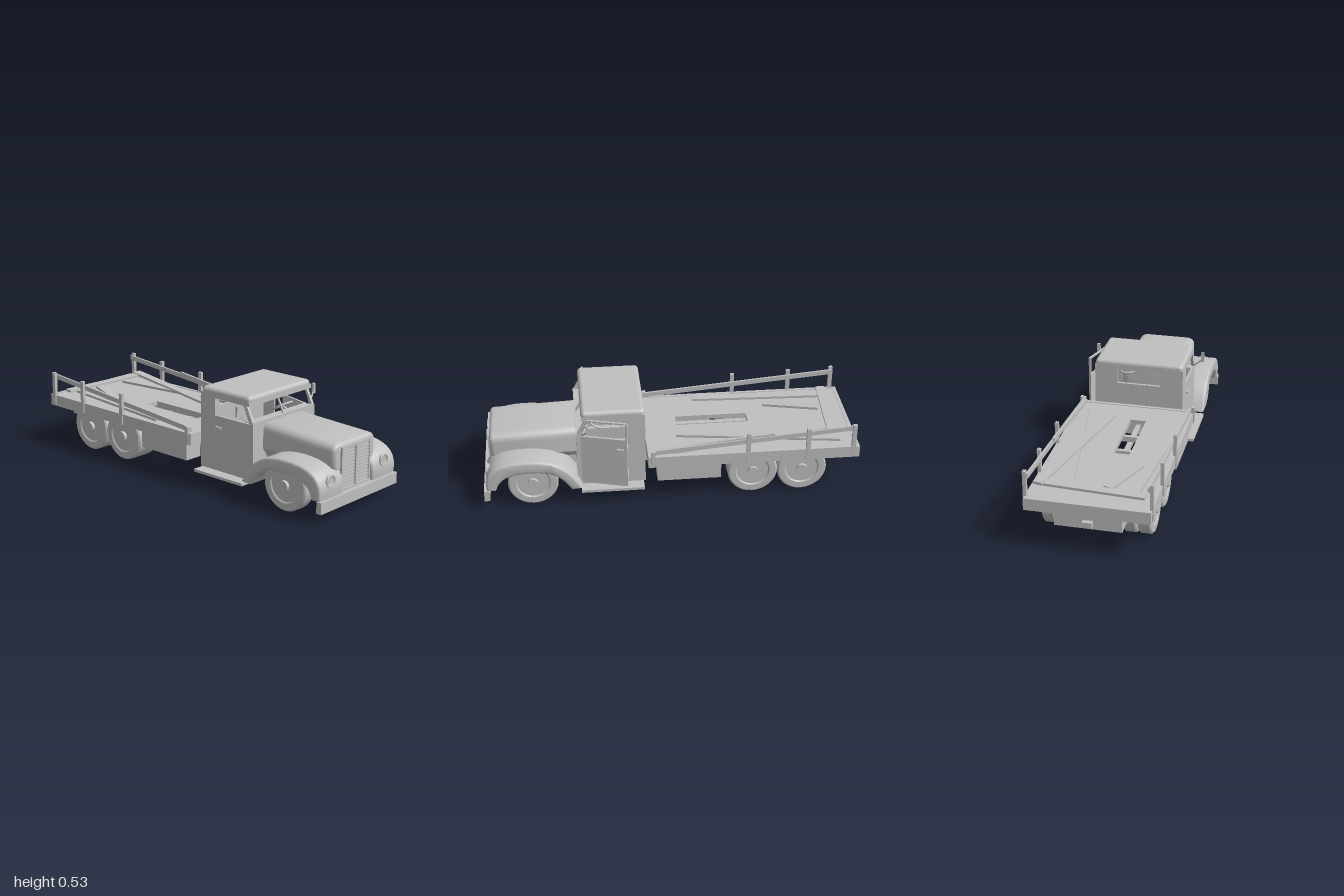
import * as THREE from 'three';
import { toCreasedNormals } from 'three/addons/utils/BufferGeometryUtils.js';
import { RoundedBoxGeometry } from 'three/addons/geometries/RoundedBoxGeometry.js';

const grey = new THREE.MeshStandardMaterial({ color: 0xc0c0c0, side: THREE.DoubleSide });
grey.name = 'primerGrey';

function add(parent, name, geometry) {
  const mesh = new THREE.Mesh(geometry, grey);
  mesh.name = name;
  parent.add(mesh);
  return mesh;
}

// Box given by its limits on each axis
function box(parent, name, x0, x1, y0, y1, z0, z1) {
  const mesh = add(parent, name, new THREE.BoxGeometry(x1 - x0, y1 - y0, z1 - z0));
  mesh.position.set((x0 + x1) / 2, (y0 + y1) / 2, (z0 + z1) / 2);
  return mesh;
}

// Bar of rectangular section laid between two points
function bar(parent, name, a, b, w, h) {
  const from = new THREE.Vector3(...a), to = new THREE.Vector3(...b);
  const mesh = add(parent, name, new THREE.BoxGeometry(w, h, from.distanceTo(to)));
  mesh.position.copy(from).lerp(to, 0.5);
  mesh.lookAt(to);
  return mesh;
}

// Cylinder along x
function axle(parent, name, r, x0, x1, y, z) {
  const mesh = add(parent, name, new THREE.CylinderGeometry(r, r, x1 - x0, 24));
  mesh.rotation.z = Math.PI / 2;
  mesh.position.set((x0 + x1) / 2, y, z);
  return mesh;
}

const outline = pts => pts.map(p => new THREE.Vector2(...p));
const extrude = (shape, depth, opts = {}) =>
  new THREE.ExtrudeGeometry(shape, { depth, bevelEnabled: false, curveSegments: 12, ...opts });

// Side profile (z, y) extruded along x from x0, with z kept pointing forward
function sideExtrude(shape, x0, width, opts) {
  const g = extrude(shape, width, opts);
  g.rotateY(-Math.PI / 2); // profile x -> +z, depth -> -x
  g.translate(x0 + width, 0, 0);
  return g;
}

function wheel(parent, x0, x1, z) {
  const w = x1 - x0, h = w / 2;
  const profile = outline([[0, -h + 0.006], [0.085, -h + 0.006], [0.092, -h], [0.125, -h], [0.134, -h + 0.008],
    [0.134, h - 0.008], [0.125, h], [0.092, h], [0.085, h - 0.006], [0, h - 0.006]]);
  const mesh = add(parent, 'wheel', toCreasedNormals(new THREE.LatheGeometry(profile, 32), 0.6));
  mesh.rotation.z = Math.PI / 2;
  mesh.position.set((x0 + x1) / 2, 0.134, z);
}

function buildRunningGear(root) {
  const g = new THREE.Group();
  g.name = 'runningGear';
  root.add(g);
  for (const s of [-1, 1]) {
    const span = (a, b) => (s > 0 ? [a, b] : [-b, -a]);
    wheel(g, ...span(0.205, 0.28), 0.74);
    axle(g, 'hub', 0.028, ...span(0.26, 0.292), 0.134, 0.74);
    for (const z of [-0.433, -0.70]) {
      wheel(g, ...span(0.135, 0.204), z);
      wheel(g, ...span(0.211, 0.28), z);
      axle(g, 'hub', 0.028, ...span(0.26, 0.292), 0.134, z);
    }
    box(g, 'chassisRail', ...span(0.1, 0.13), 0.14, 0.214, -0.96, 0.9);
    box(g, 'sideTank', ...span(0.19, 0.295), 0.115, 0.205, -0.26, 0.08);
  }
  for (const z of [0.74, -0.433, -0.70]) axle(g, 'axle', 0.018, -0.22, 0.22, 0.134, z);
  for (const z of [-0.433, -0.70]) {
    add(g, 'differential', new THREE.SphereGeometry(0.045, 20, 14)).position.set(0, 0.134, z);
  }
  bar(g, 'driveShaft', [0, 0.14, 0.2], [0, 0.134, -0.70], 0.025, 0.025);
  for (const z of [-0.1, -0.265, -0.43, -0.57]) box(g, 'crossMember', -0.11, 0.11, 0.17, 0.2, z - 0.012, z + 0.012);
  box(g, 'rearCrossBox', -0.17, 0.17, 0.135, 0.214, -0.975, -0.83);
  box(g, 'hitch', -0.025, 0.025, 0.152, 0.182, -1, -0.97);
}

function buildNose(root) {
  const g = new THREE.Group();
  g.name = 'nose';
  root.add(g);
  box(g, 'bumper', -0.313, 0.313, 0.057, 0.117, 0.97, 1);
  box(g, 'bumperApron', -0.135, 0.135, 0.115, 0.13, 0.9, 0.972);

  // Hood: front outline with a rounded leading edge, falling towards the front
  const b = 0.022, hood = new THREE.Shape();
  hood.moveTo(-0.118, 0.14);
  hood.lineTo(-0.118, 0.215);
  hood.lineTo(-0.146, 0.255);
  hood.lineTo(-0.146, 0.335);
  hood.quadraticCurveTo(-0.146, 0.363, -0.118, 0.363);
  hood.lineTo(0.118, 0.363);
  hood.quadraticCurveTo(0.146, 0.363, 0.146, 0.335);
  hood.lineTo(0.146, 0.255);
  hood.lineTo(0.118, 0.215);
  hood.lineTo(0.118, 0.14);
  const hg = extrude(hood, 0.458, { bevelEnabled: true, bevelSize: b, bevelThickness: b, bevelSegments: 4 });
  hg.translate(0, 0, 0.48);
  const p = hg.attributes.position;
  for (let i = 0; i < p.count; i++) {
    const t = Math.max(0, (p.getZ(i) - 0.5) / 0.46), k = Math.max(0, (p.getY(i) - 0.25) / 0.13);
    p.setY(i, p.getY(i) - 0.02 * t * k);
  }
  add(g, 'hood', toCreasedNormals(hg, 0.6));

  // Grille: frame, centre bar and slats
  for (const s of [-1, 1]) box(g, 'grilleSide', s * 0.1125 - 0.0055, s * 0.1125 + 0.0055, 0.127, 0.345, 0.95, 0.97);
  box(g, 'grilleTop', -0.118, 0.118, 0.335, 0.345, 0.95, 0.97);
  box(g, 'grilleCentre', -0.007, 0.007, 0.127, 0.34, 0.95, 0.973);
  for (let i = 0; i < 12; i++) {
    const y = 0.134 + i * 0.0172;
    box(g, 'grilleSlat', -0.107, 0.107, y, y + 0.011, 0.95, 0.967);
  }

  // Fender arch with rounded edges, and headlights
  const fender = new THREE.Shape();
  fender.moveTo(0.972, 0.127);
  fender.bezierCurveTo(0.985, 0.21, 0.945, 0.268, 0.77, 0.268);
  fender.bezierCurveTo(0.62, 0.268, 0.56, 0.22, 0.495, 0.11);
  fender.lineTo(0.53, 0.11);
  fender.bezierCurveTo(0.59, 0.2, 0.64, 0.225, 0.74, 0.225);
  fender.bezierCurveTo(0.86, 0.225, 0.92, 0.2, 0.945, 0.127);
  for (const s of [-1, 1]) {
    const fg = sideExtrude(fender, s > 0 ? 0.132 : -0.299, 0.167,
      { bevelEnabled: true, bevelSize: 0.013, bevelThickness: 0.013, bevelSegments: 3 });
    add(g, 'fender', toCreasedNormals(fg, 0.6));
    add(g, 'headlightRim', new THREE.TorusGeometry(0.03, 0.007, 10, 28)).position.set(s * 0.218, 0.2, 0.98);
    const lens = add(g, 'headlightLens', new THREE.CylinderGeometry(0.028, 0.028, 0.04, 28));
    lens.rotation.x = Math.PI / 2;
    lens.position.set(s * 0.218, 0.2, 0.962);
  }
}

// Door skin with window, drawn as (z, y)
function doorGeometry() {
  const door = new THREE.Shape(outline([[0.23, 0.1], [0.49, 0.1], [0.495, 0.39], [0.445, 0.488], [0.23, 0.488]]));
  door.holes.push(new THREE.Path(outline([[0.24, 0.388], [0.24, 0.48], [0.437, 0.48], [0.478, 0.388]])));
  return sideExtrude(door, -0.006, 0.012);
}

function buildCab(root) {
  const g = new THREE.Group();
  g.name = 'cab';
  root.add(g);
  const roof = add(g, 'roof', new RoundedBoxGeometry(0.494, 0.05, 0.335, 3, 0.022));
  roof.position.set(0, 0.505, 0.308);
  box(g, 'roofEdge', -0.247, 0.247, 0.48, 0.502, 0.14, 0.475);
  box(g, 'floor', -0.247, 0.247, 0.09, 0.105, 0.14, 0.5);
  box(g, 'cowl', -0.247, 0.247, 0.1, 0.393, 0.48, 0.503);
  box(g, 'dashboard', -0.235, 0.235, 0.34, 0.393, 0.44, 0.482);
  const back = new THREE.Shape(outline([[-0.247, 0.1], [0.247, 0.1], [0.247, 0.49], [-0.247, 0.49]]));
  back.holes.push(new THREE.Path(outline([[-0.12, 0.398], [-0.12, 0.478], [0.12, 0.478], [0.12, 0.398]])));
  add(g, 'backWall', extrude(back, 0.015)).position.z = 0.14;
  bar(g, 'windscreenSill', [-0.24, 0.395, 0.498], [0.24, 0.395, 0.498], 0.012, 0.01);
  bar(g, 'windscreenMullion', [0, 0.393, 0.497], [0, 0.486, 0.45], 0.009, 0.009);

  for (const s of [-1, 1]) {
    box(g, 'rearSidePanel', s * 0.241 - 0.006, s * 0.241 + 0.006, 0.1, 0.49, 0.14, 0.23);
    bar(g, 'windscreenPillar', [s * 0.238, 0.39, 0.495], [s * 0.238, 0.488, 0.445], 0.016, 0.014);
    box(g, 'runningBoard', s * 0.275 - 0.037, s * 0.275 + 0.037, 0.075, 0.09, 0.15, 0.485);
    bar(g, 'mirrorArm', [s * 0.247, 0.395, 0.47], [s * 0.3, 0.445, 0.45], 0.007, 0.007);
    box(g, 'mirror', s * 0.304 - 0.009, s * 0.304 + 0.009, 0.435, 0.49, 0.442, 0.454);

    // The left door hangs ajar on its front hinge
    const door = new THREE.Group();
    door.name = s > 0 ? 'openDoor' : 'closedDoor';
    add(door, 'doorPanel', doorGeometry()).position.z = -0.47;
    box(door, 'doorHandle', s * 0.011 - 0.006, s * 0.011 + 0.006, 0.322, 0.332, -0.222, -0.185);
    door.position.set(s * 0.241, 0, 0.47);
    if (s > 0) door.rotation.y = -0.27;
    g.add(door);
  }

  const steering = new THREE.Group();
  steering.name = 'steeringWheel';
  add(steering, 'rim', new THREE.TorusGeometry(0.055, 0.006, 8, 28));
  box(steering, 'spoke', -0.053, 0.053, -0.004, 0.004, -0.004, 0.004);
  steering.position.set(0.115, 0.395, 0.39);
  steering.rotation.x = -2.05;
  g.add(steering);
  bar(g, 'steeringColumn', [0.115, 0.395, 0.39], [0.115, 0.35, 0.47], 0.01, 0.01);
}

function buildBed(root) {
  const g = new THREE.Group();
  g.name = 'flatBed';
  root.add(g);
  // Deck with a missing board, and a deep edge all round
  const deck = new THREE.Shape(outline([[-0.31, -0.13], [0.31, -0.13], [0.31, 0.995], [-0.31, 0.995]]));
  deck.holes.push(new THREE.Path(outline([[-0.083, 0.05], [-0.083, 0.445], [0.003, 0.445], [0.003, 0.05]])));
  const dg = extrude(deck, 0.025);
  dg.rotateX(-Math.PI / 2);
  add(g, 'deck', dg).position.y = 0.25;
  for (const z of [-0.99, 0.12]) box(g, 'bedEnd', -0.315, 0.315, 0.214, 0.278, z - 0.01, z + 0.01);
  for (const s of [-1, 1]) {
    box(g, 'bedSide', s * 0.308 - 0.009, s * 0.308 + 0.009, 0.214, 0.278, -1, 0.13);
    for (const [z, top] of [[-0.965, 0.412], [-0.72, 0.404], [-0.4, 0.395], [0.105, 0.312]]) {
      box(g, 'railPost', s * 0.314 - 0.009, s * 0.314 + 0.009, 0.22, top, z - 0.011, z + 0.011);
    }
    bar(g, 'sideRail', [s * 0.3, 0.295, 0.115], [s * 0.3, 0.388, -0.975], 0.012, 0.026);
  }
  // Loose planks: ends on the deck
  const planks = [
    [[-0.27, 0.305, -0.9], [0.28, 0.305, -0.867]],
    [[-0.205, 0.3, -0.87], [-0.258, 0.284, -0.165]],
    [[-0.07, 0.3, -0.85], [-0.165, 0.284, -0.555]],
    [[0.13, 0.295, -0.85], [0.27, 0.285, 0]],
    [[0.272, 0.312, -0.9], [0.108, 0.286, -0.04]],
  ];
  for (const [a, b] of planks) bar(g, 'loosePlank', a, b, 0.05, 0.013);
  bar(g, 'fallenRail', [0.286, 0.296, 0.085], [0.294, 0.365, -0.54], 0.013, 0.022);
}

export function createModel() {
  const root = new THREE.Group();
  root.name = 'flatbedTruck';
  buildRunningGear(root);
  buildNose(root);
  buildCab(root);
  buildBed(root);
  return root;
}
